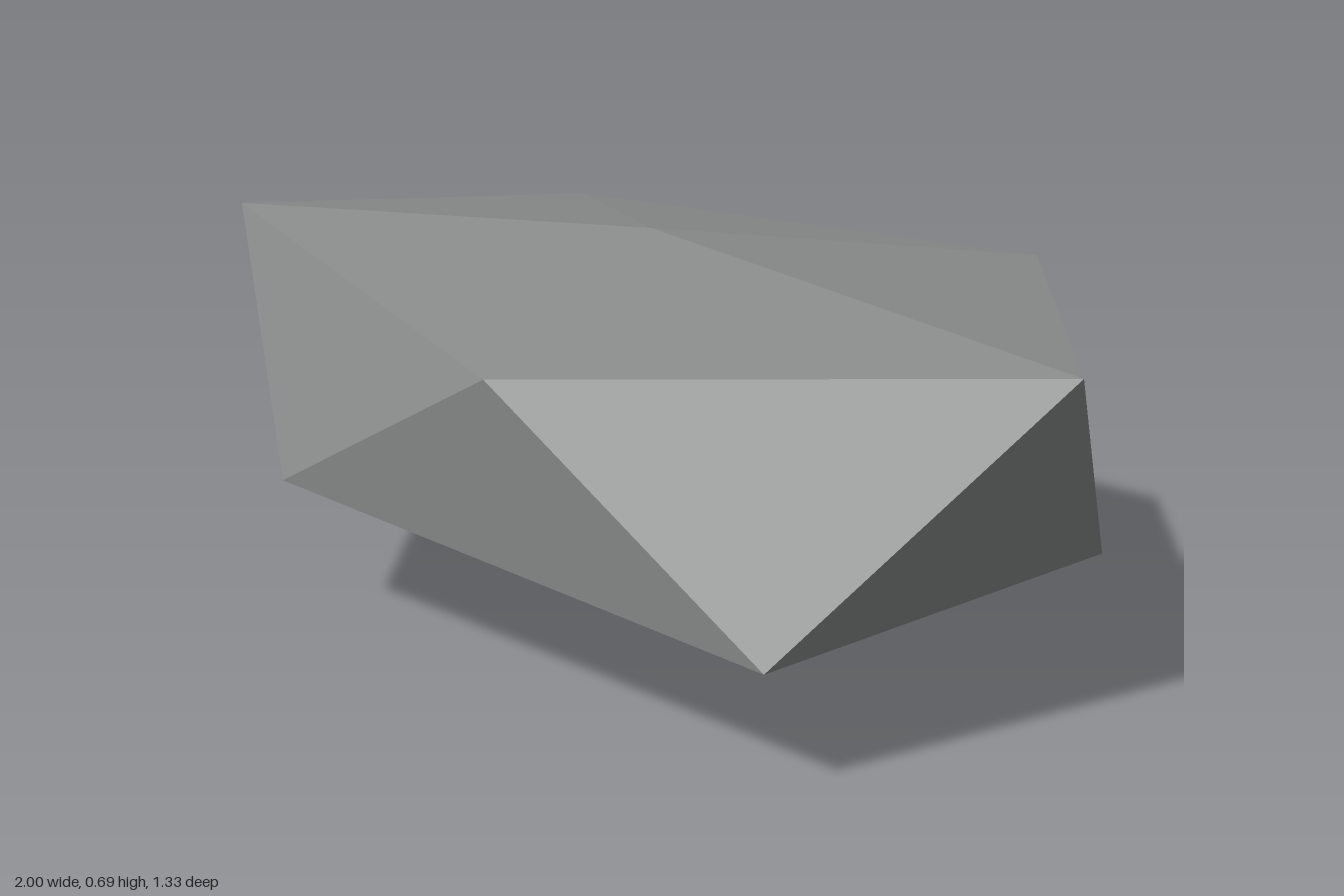
import * as THREE from 'three';

// Faceted boulder: a crown point, two staggered five-point rings and a foot point.
const crown = [0.01, 0.69, 0.04];
const upperRing = [
  [-0.85, 0.64, 0.42], [0.3, 0.57, 0.58], [1, 0.63, -0.02],
  [0.33, 0.61, -0.61], [-0.85, 0.56, -0.4],
];
const lowerRing = [
  [-0.25, 0.27, 0.66], [0.83, 0.22, 0.44], [0.78, 0.22, -0.33],
  [-0.35, 0.2, -0.67], [-1, 0.25, 0],
];
const foot = [-0.03, 0, -0.05];

function boulderGeometry() {
  const corners = [];
  const face = (a, b, c) => corners.push(...a, ...b, ...c);
  for (let i = 0; i < 5; i++) {
    const j = (i + 1) % 5;
    face(crown, upperRing[i], upperRing[j]);            // top cap
    face(upperRing[i], lowerRing[i], upperRing[j]);     // side, pointing down
    face(lowerRing[i], lowerRing[j], upperRing[j]);     // side, pointing up
    face(foot, lowerRing[j], lowerRing[i]);             // underside
  }
  const geometry = new THREE.BufferGeometry();
  geometry.setAttribute('position', new THREE.Float32BufferAttribute(corners, 3));
  geometry.computeVertexNormals();
  return geometry;
}

export function createModel() {
  const stone = new THREE.MeshStandardMaterial({ color: 0x888b8a, flatShading: true });
  stone.name = 'stoneGrey';

  const boulder = new THREE.Mesh(boulderGeometry(), stone);
  boulder.name = 'boulder';

  const group = new THREE.Group();
  group.name = 'rock';
  group.add(boulder);
  return group;
}
